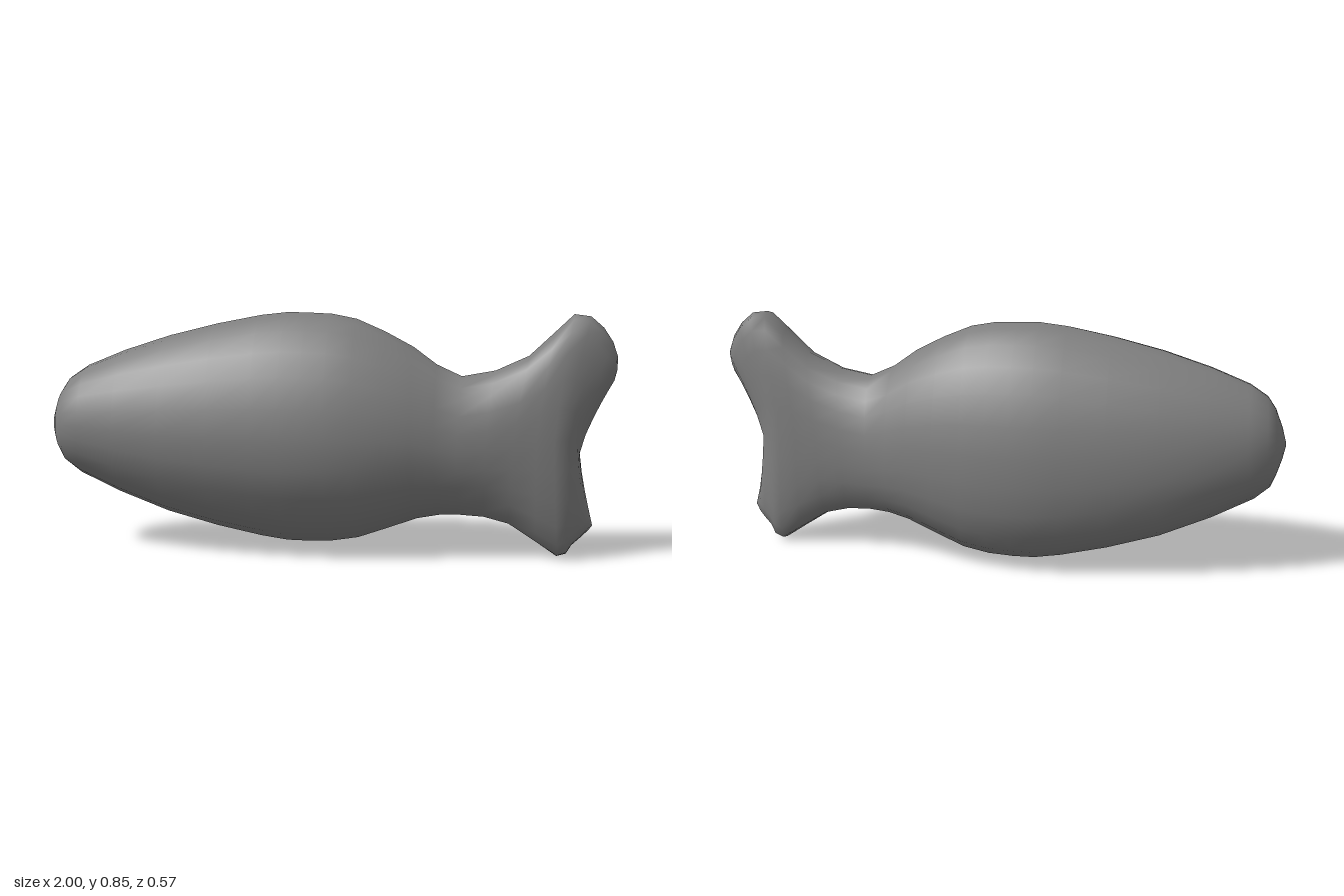
import * as THREE from 'three';
import { mergeVertices } from 'three/addons/utils/BufferGeometryUtils.js';

const points = (pairs) => pairs.map(([a, b]) => new THREE.Vector2(a, b));

// Back outline (x, y), nose to upper tail tip
const back = new THREE.SplineCurve(points([
  [-1, 0.45], [-0.96, 0.57], [-0.87, 0.655], [-0.57, 0.765], [-0.24, 0.84], [-0.07, 0.85], [0.1, 0.83],
  [0.3, 0.735], [0.47, 0.635], [0.7, 0.71], [0.85, 0.855], [0.95, 0.81], [1, 0.71], [0.99, 0.63],
]));
// Belly outline (x, y), nose to lower tail tip
const belly = new THREE.SplineCurve(points([
  [-1, 0.44], [-0.97, 0.34], [-0.9, 0.26], [-0.58, 0.12], [-0.24, 0.035], [-0.07, 0.02], [0.11, 0.04],
  [0.32, 0.12], [0.47, 0.14], [0.64, 0.115], [0.81, 0.003], [0.86, 0.045], [0.91, 0.095], [0.93, 0.12],
]));
// Middle of each flank (x, half thickness), nose to tail notch
const flank = new THREE.SplineCurve(points([
  [-1, 0], [-0.965, 0.11], [-0.87, 0.17], [-0.57, 0.243], [-0.24, 0.278], [-0.07, 0.28], [0.1, 0.262],
  [0.3, 0.212], [0.46, 0.16], [0.65, 0.127], [0.79, 0.113], [0.84, 0.086], [0.87, 0.055], [0.88, 0],
]));

// Loft rounded sections between the outlines; their ends bow backwards into the tail lobes
function loft(rings, sides) {
  const positions = [];
  const index = [];
  for (let i = 0; i <= rings; i++) {
    const t = i / rings;
    const top = back.getPoint(t);
    const bottom = belly.getPoint(t);
    const middle = flank.getPoint(t);
    // The tail is boxier in section; the thick body is fuller below and its belly leans to one side
    const fullness = 1 - 0.4 * THREE.MathUtils.smoothstep(top.x, 0.5, 0.8);
    const bulk = (middle.y / 0.28) ** 2;
    for (let j = 0; j < sides; j++) {
      const angle = (j / sides) * Math.PI * 2;
      const v = Math.cos(angle);
      const s = Math.sin(angle);
      const end = v > 0 ? top : bottom;
      const side = Math.sign(s) * Math.abs(s) ** fullness * (1 - 0.12 * bulk * v);
      const lean = 0.055 * bulk * Math.min(v, 0) ** 2;
      positions.push(
        THREE.MathUtils.lerp(middle.x, end.x, Math.abs(v) ** 1.3),
        THREE.MathUtils.lerp(bottom.y, top.y, (v + 1) / 2),
        0.03 - 0.026 * bulk + middle.y * side - lean
      );
      if (i < rings) {
        const p = i * sides + j;
        const q = i * sides + ((j + 1) % sides);
        index.push(p, q, p + sides, q, q + sides, p + sides);
      }
    }
  }
  const geometry = new THREE.BufferGeometry();
  geometry.setAttribute('position', new THREE.Float32BufferAttribute(positions, 3));
  geometry.setIndex(index);
  const welded = mergeVertices(geometry, 1e-4);
  welded.computeVertexNormals();
  return welded;
}

export function createModel() {
  const group = new THREE.Group();
  group.name = 'fish';
  // One continuous skin: head, body, narrow tail stem and forked tail
  const skin = new THREE.Mesh(
    loft(26, 24),
    new THREE.MeshStandardMaterial({ color: 0x808080 })
  );
  skin.name = 'bodyAndTail';
  group.add(skin);
  return group;
}
